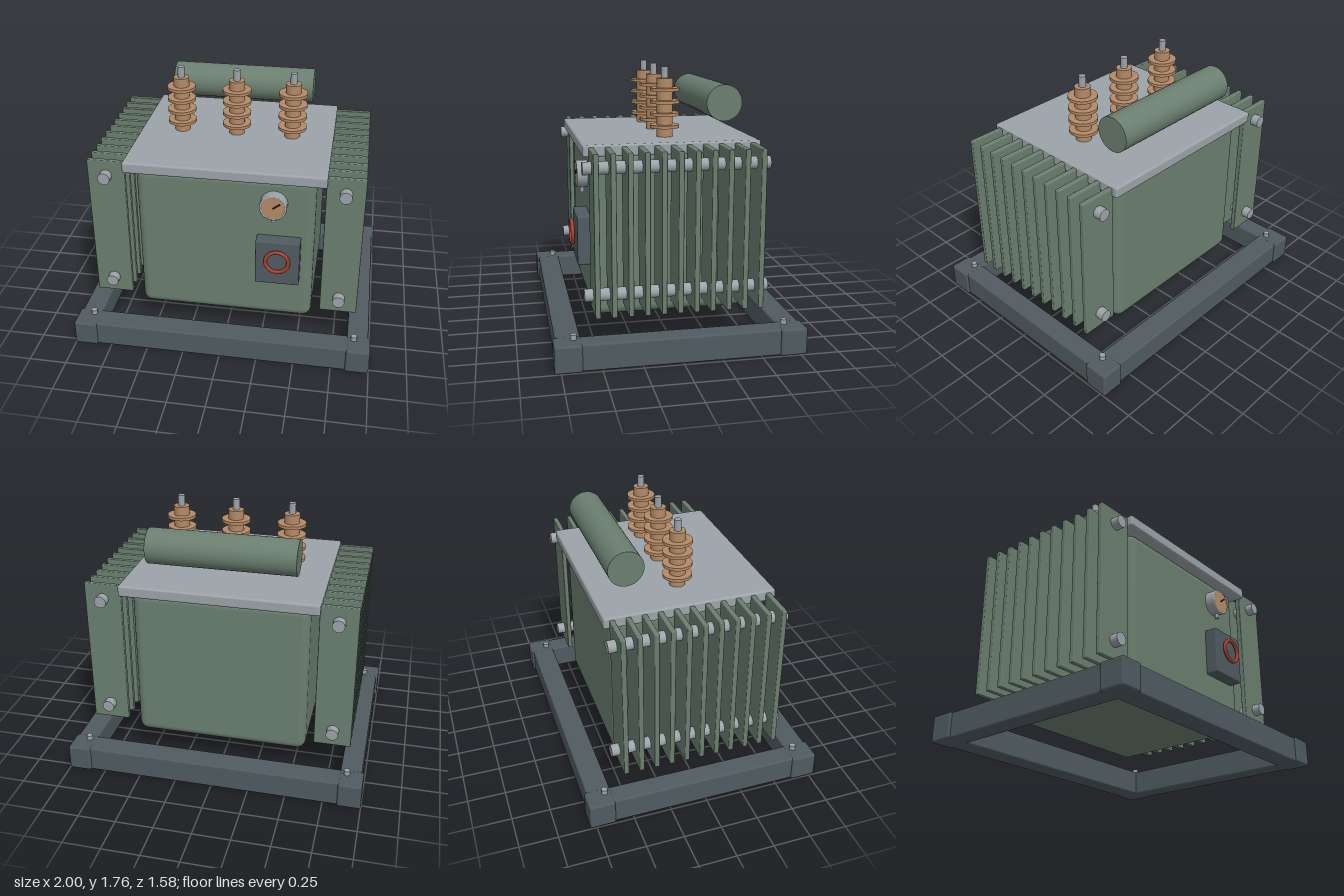
import * as THREE from 'three';
import { RoundedBoxGeometry } from 'three/addons/geometries/RoundedBoxGeometry.js';

const paint = (color) => new THREE.MeshStandardMaterial({ color });

export function createModel() {
  const model = new THREE.Group();
  const green = paint(0x6b7f70), dark = paint(0x505b60), steel = paint(0x9ca4a9);
  const copper = paint(0xb48a66), red = paint(0xa8402f), black = paint(0x2b2b2b);

  const add = (name, geometry, material, x, y, z, parent = model) => {
    const mesh = new THREE.Mesh(geometry, material);
    mesh.name = name;
    mesh.position.set(x, y, z);
    parent.add(mesh);
    return mesh;
  };
  const group = (name) => {
    const g = new THREE.Group();
    g.name = name;
    model.add(g);
    return g;
  };
  const rounded = (w, h, d, r) => new RoundedBoxGeometry(w, h, d, 3, r);
  const rod = (r, length, sides = 24) => new THREE.CylinderGeometry(r, r, length, sides);

  // Base frame: four rails, corner blocks and anchor bolts
  const base = group('baseFrame');
  for (const s of [-1, 1]) {
    add('crossRail', rounded(1.9, 0.17, 0.155, 0.012), dark, 0, 0.086, s * 0.698, base);
    add('sideRail', rounded(0.14, 0.17, 1.5, 0.012), dark, s * 0.915, 0.086, 0, base);
    for (const t of [-1, 1]) {
      add('cornerBlock', rounded(0.155, 0.174, 0.17, 0.015), dark, s * 0.922, 0.087, t * 0.705, base);
      add('anchorBolt', rod(0.02, 0.06, 16), steel, s * 0.89, 0.175, t * 0.665, base);
    }
  }

  // Tank and lid
  add('tank', rounded(1.17, 1.06, 1.01, 0.06), green, 0, 0.72, 0);
  add('lid', rounded(1.304, 0.075, 1.13, 0.014), steel, 0, 1.277, 0);

  // Cooling radiators with their header pipes
  for (const s of [-1, 1]) {
    const radiator = group(s > 0 ? 'leftRadiator' : 'rightRadiator');
    for (let i = 0; i < 11; i++) {
      add('coolingFin', rounded(0.247, 1.01, 0.033, 0.006), green, s * 0.769, 0.795, (i - 5) * 0.1024, radiator);
    }
    for (const y of [0.403, 1.195]) {
      add('headerPipe', rod(0.04, 1.166).rotateX(Math.PI / 2), steel, s * 0.77, y, 0, radiator);
    }
  }

  // Oil conservator drum
  add('conservator', rod(0.117, 0.972, 40).rotateZ(Math.PI / 2), green, 0, 1.534, -0.369);

  // Three ribbed bushings with terminals
  for (const x of [-0.375, 0, 0.375]) {
    const bushing = group('bushing');
    bushing.position.x = x;
    add('insulator', rod(0.052, 0.385, 28), copper, 0, 1.4975, 0, bushing);
    for (let i = 0; i < 4; i++) {
      add('insulatorShed', rod(0.095, 0.02, 32), copper, 0, 1.382 + i * 0.079, 0, bushing);
    }
    add('terminal', rod(0.023, 0.09, 16), steel, 0, 1.718, 0, bushing);
  }

  // Temperature gauge
  const gauge = group('gauge');
  gauge.position.set(0.32, 1.077, 0);
  const disc = (r, d) => rod(r, d, 36).rotateX(Math.PI / 2);
  add('gaugeCase', disc(0.088, 0.07), steel, 0, 0, 0.53, gauge);
  add('gaugeBezel', new THREE.TorusGeometry(0.081, 0.008, 10, 40), steel, 0, 0, 0.568, gauge);
  add('gaugeDial', disc(0.078, 0.02), copper, 0, 0, 0.564, gauge);
  add('gaugeNeedle', new THREE.BoxGeometry(0.055, 0.009, 0.008), black, 0.022, 0.017, 0.578, gauge)
    .rotation.z = 0.65;
  add('gaugeStem', rod(0.014, 0.06, 16), steel, 0, -0.09, 0.537, gauge);

  // Control box with its ring handle
  add('controlBox', rounded(0.289, 0.322, 0.1, 0.01), dark, 0.358, 0.674, 0.541);
  add('ringHandle', new THREE.TorusGeometry(0.075, 0.0125, 12, 40), red, 0.358, 0.7, 0.614);

  return model;
}
